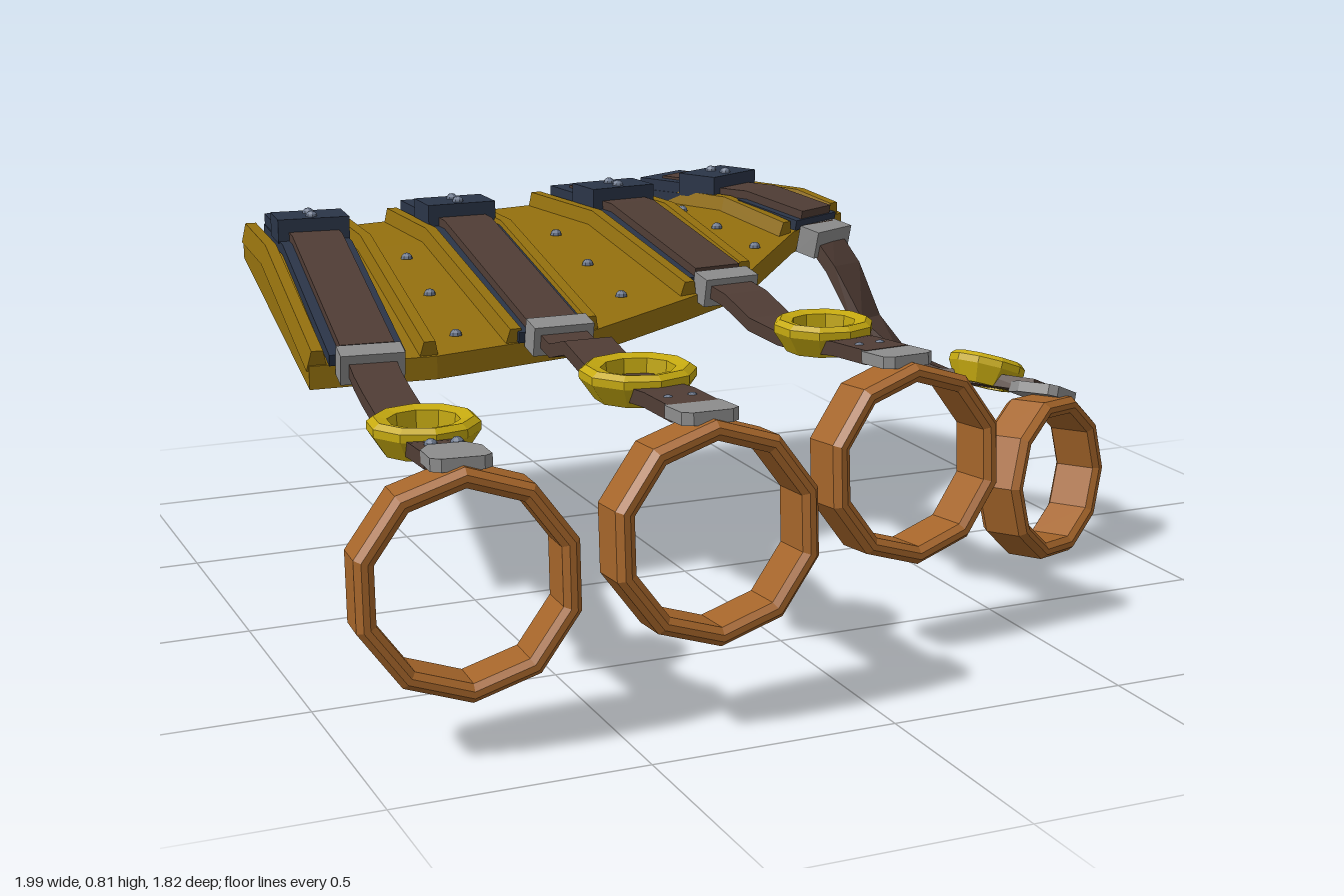
import * as THREE from 'three';

const mat = (name, color) => new THREE.MeshStandardMaterial({ name, color });
const V = (x, y, z) => new THREE.Vector3(x, y, z);

// Faceted copy of a geometry
function flat(g) {
  const f = g.index ? g.toNonIndexed() : g;
  f.computeVertexNormals();
  return f;
}

// Skin a list of equal-length closed loops and cap both ends
function loft(loops) {
  const n = loops[0].length, idx = [];
  for (let i = 0; i < loops.length - 1; i++) {
    for (let j = 0; j < n; j++) {
      const a = i * n + j, b = i * n + (j + 1) % n;
      idx.push(a, b, b + n, a, b + n, a + n);
    }
  }
  const e = (loops.length - 1) * n;
  for (let j = 1; j < n - 1; j++) idx.push(0, j + 1, j, e, e + j, e + j + 1);
  const g = new THREE.BufferGeometry().setFromPoints(loops.flat());
  g.setIndex(idx);
  return flat(g);
}

// Rectangular strip along a path, optionally twisting towards its end
function strip(points, width, thick, roll = 0, topScale = 1) {
  return loft(points.map((p, i) => {
    const t = points[Math.min(i + 1, points.length - 1)].clone()
      .sub(points[Math.max(i - 1, 0)]).normalize();
    const s = V(t.z, 0, -t.x).normalize();
    const u = t.clone().cross(s);
    const a = roll * i / (points.length - 1);
    s.applyAxisAngle(t, a);
    u.applyAxisAngle(t, a);
    return [[-1, -1], [1, -1], [1, 1], [-1, 1]].map(([x, y]) => p.clone()
      .addScaledVector(s, x * width / 2 * (y > 0 ? topScale : 1))
      .addScaledVector(u, y * thick / 2));
  }));
}

// Ten-sided hoop about the y axis from a closed profile
const hoop = (profile) => flat(new THREE.LatheGeometry(
  [...profile, profile[0]].map(([r, y]) => new THREE.Vector2(r, y)), 10));

// Height of the bent hand plate
const KNEE = -0.55;
const plateY = (x, z) => 0.575 + 0.225 * Math.min(-z, -KNEE) + 0.03 * (x + 0.3);

// Points along a back-to-front line lying on the plate
function onPlate([x0, z0, x1, z1], lift) {
  const k = (KNEE - z0) / (z1 - z0);
  return [0, k, 1].map((t) => {
    const x = x0 + (x1 - x0) * t, z = z0 + (z1 - z0) * t;
    return V(x, plateY(x, z) + lift, z);
  });
}

export function createModel() {
  const root = new THREE.Group();
  root.name = 'fingerHarness';
  const ochre = mat('ochre plate', 0x94700e);
  const gold = mat('bright gold', 0xc6aa10);
  const leather = mat('brown leather', 0x503d35);
  const navy = mat('navy leather', 0x2b3548);
  const steel = mat('grey steel', 0x8d8d8d);
  const copper = mat('copper', 0xa5652a);
  const rivetMat = mat('rivet steel', 0x69758a);

  const add = (name, geo, m, parent = root) => {
    const mesh = new THREE.Mesh(geo, m);
    mesh.name = name;
    parent.add(mesh);
    return mesh;
  };
  const group = (name, parent = root) => {
    const g = new THREE.Group();
    g.name = name;
    parent.add(g);
    return g;
  };
  const box = (w, h, d) => new THREE.BoxGeometry(w, h, d);
  const rivetGeo = flat(new THREE.SphereGeometry(0.014, 8, 3, 0, Math.PI * 2, 0, Math.PI / 2));
  const rivet = (x, y, z, parent) => add('rivet', rivetGeo, rivetMat, parent).position.set(x, y, z);

  // Hand plate: one cross-section per column, back point to front point
  const columns = [
    [-0.78, -0.84, -0.85, 0], [-0.55, -0.845, -0.58, 0.025], [-0.2, -0.86, -0.22, 0],
    [0.0, -0.87, 0.05, -0.1], [0.17, -0.875, 0.22, -0.17], [0.24, -0.88, 0.45, -0.38],
    [0.4, -0.88, 0.55, -0.43], [0.45, -0.91, 0.62, -0.46],
  ];
  add('handPlate', loft(columns.map((c) =>
    [...onPlate(c, -0.05).reverse(), ...onPlate(c, 0)])), ochre);

  // Raised ribs beside the straps
  const ribs = [
    [-0.762, -0.835, -0.832, 0], [-0.548, -0.84, -0.595, 0.02], [-0.41, -0.845, -0.4, 0.01],
    [-0.222, -0.855, -0.222, -0.005], [-0.03, -0.865, 0.06, -0.115], [0.17, -0.87, 0.228, -0.185],
    [0.225, -0.87, 0.425, -0.37], [0.415, -0.89, 0.59, -0.45],
  ];
  for (const r of ribs) add('rib', strip(onPlate(r, 0.01), 0.045, 0.045, 0, 0.55), ochre);

  // Plate rivets
  for (const [x, z] of [[-0.49, -0.47], [-0.5, -0.27], [-0.51, -0.06], [-0.11, -0.51],
    [-0.1, -0.33], [-0.09, -0.15], [0.25, -0.59], [0.28, -0.45], [0.32, -0.32]]) {
    rivet(x, plateY(x, z), z);
  }

  // Tapered clip outline, seen from above
  const clipShape = new THREE.Shape([[-0.035, 0.07], [0.035, 0.07], [0.058, 0.03], [0.058, -0.05],
    [0.04, -0.065], [-0.04, -0.065], [-0.058, -0.05], [-0.058, 0.03]]
    .map(([x, y]) => new THREE.Vector2(x, y)));
  const clipGeo = new THREE.ExtrudeGeometry(clipShape, { depth: 0.025, bevelEnabled: false });
  clipGeo.rotateX(-Math.PI / 2);

  const fingers = [
    { name: 'rightOuterFinger', base: [-0.65, -0.83, -0.73, 0.02], width: 0.1,
      path: [[-0.73, 0.575, 0.02], [-0.74, 0.545, 0.13], [-0.75, 0.535, 0.22], [-0.755, 0.5, 0.38],
        [-0.76, 0.51, 0.5], [-0.775, 0.53, 0.62], [-0.782, 0.54, 0.73]],
      knuckle: [-0.76, 0.53, 0.5, 0.11], ring: [-0.78, 0.325, 0.785, 0.22], yaw: -0.09, roll: 0 },
    { name: 'rightInnerFinger', base: [-0.315, -0.83, -0.315, 0.02], width: 0.105,
      path: [[-0.315, 0.595, 0.02], [-0.315, 0.575, 0.13], [-0.315, 0.6, 0.22], [-0.318, 0.57, 0.38],
        [-0.318, 0.575, 0.5], [-0.316, 0.59, 0.65], [-0.315, 0.592, 0.78]],
      knuckle: [-0.318, 0.59, 0.5, 0.117], ring: [-0.315, 0.38, 0.84, 0.216], yaw: 0, roll: 0 },
    { name: 'leftFinger', base: [0.07, -0.83, 0.145, -0.15], width: 0.105,
      path: [[0.145, 0.63, -0.15], [0.155, 0.615, -0.02], [0.168, 0.58, 0.08], [0.18, 0.572, 0.2],
        [0.185, 0.58, 0.31], [0.2, 0.595, 0.42], [0.215, 0.6, 0.54]],
      knuckle: [0.185, 0.6, 0.31, 0.107], ring: [0.22, 0.395, 0.615, 0.208], yaw: 0.09, roll: 0 },
    { name: 'thumb', base: [0.295, -0.835, 0.52, -0.4], width: 0.1,
      path: [[0.52, 0.69, -0.4], [0.555, 0.6, -0.32], [0.585, 0.48, -0.25], [0.64, 0.4, -0.18],
        [0.72, 0.365, -0.11], [0.785, 0.365, -0.025], [0.86, 0.365, 0.11]],
      knuckle: [0.785, 0.385, -0.025, 0.09], ring: [0.805, 0.187, 0.2, 0.19], yaw: 0.46, roll: -0.38 },
  ];

  for (const f of fingers) {
    const g = group(f.name);
    const [x0, z0, x1, z1] = f.base;
    const baseYaw = Math.atan2(x1 - x0, z1 - z0);

    // Navy backing and leather strap over the plate
    add('strapBacking', strip(onPlate(f.base, 0.012), 0.16, 0.025), navy, g);
    add('plateStrap', strip(onPlate(f.base, 0.032), 0.115, 0.025), leather, g);

    // Buckle with its rear frame
    const buckle = group('buckle', g);
    const k = 0.185 / Math.hypot(x1 - x0, z1 - z0);
    const bx = x0 + (x1 - x0) * k, bz = z0 + (z1 - z0) * k;
    buckle.position.set(bx, plateY(bx, bz), bz);
    buckle.rotation.y = baseYaw;
    add('buckleBlock', box(0.165, 0.055, 0.11), navy, buckle).position.y = 0.047;
    add('buckleFrame', box(0.155, 0.05, 0.13), navy, buckle).position.set(0, 0.025, -0.12);
    add('bucklePad', box(0.1, 0.008, 0.08), leather, buckle).position.set(0, 0.052, -0.095);
    for (const z of [-0.02, 0.025]) rivet(0, 0.073, z, buckle);

    // Steel band where the strap leaves the plate
    const path = f.path.map((p) => V(...p));
    const band = add('strapBand', box(0.135, 0.065, 0.055), steel, g);
    band.position.copy(path[0]).lerp(path[1], 0.3);
    band.rotation.set(0.2, baseYaw, 0, 'YXZ');

    // Hanging leather strap
    add('fingerStrap', strip(path, f.width, 0.03, f.roll), leather, g);

    // Gold knuckle hoop, flared upwards
    const [kx, ky, kz, kr] = f.knuckle;
    const knuckle = add('knuckleHoop', hoop([[kr * 0.6, -0.035], [kr * 0.74, -0.035], [kr, 0.008],
      [kr, 0.024], [kr * 0.88, 0.034], [kr * 0.64, 0.028]]), gold, g);
    knuckle.position.set(kx, ky, kz);
    knuckle.rotation.set(0, f.yaw, f.roll, 'YXZ');

    // Copper finger ring with its clip
    const [rx, ry, rz, r] = f.ring;
    const end = group('ringAssembly', g);
    end.position.set(rx, ry, rz);
    end.rotation.set(-0.06, f.yaw, f.roll, 'YXZ');
    const w = 0.058;
    const ringGeo = hoop([[r - 0.038, -w + 0.01], [r - 0.025, -w], [r - 0.012, -w], [r, -w + 0.015],
      [r, w - 0.015], [r - 0.012, w], [r - 0.025, w], [r - 0.038, w - 0.01]]);
    add('fingerRing', ringGeo.rotateX(Math.PI / 2), copper, end);
    add('ringClip', clipGeo, steel, end).position.set(0, r - 0.01, -0.035);
    for (const x of [-0.025, 0.025]) rivet(x, r + 0.008, -0.125, end);
  }
  return root;
}
